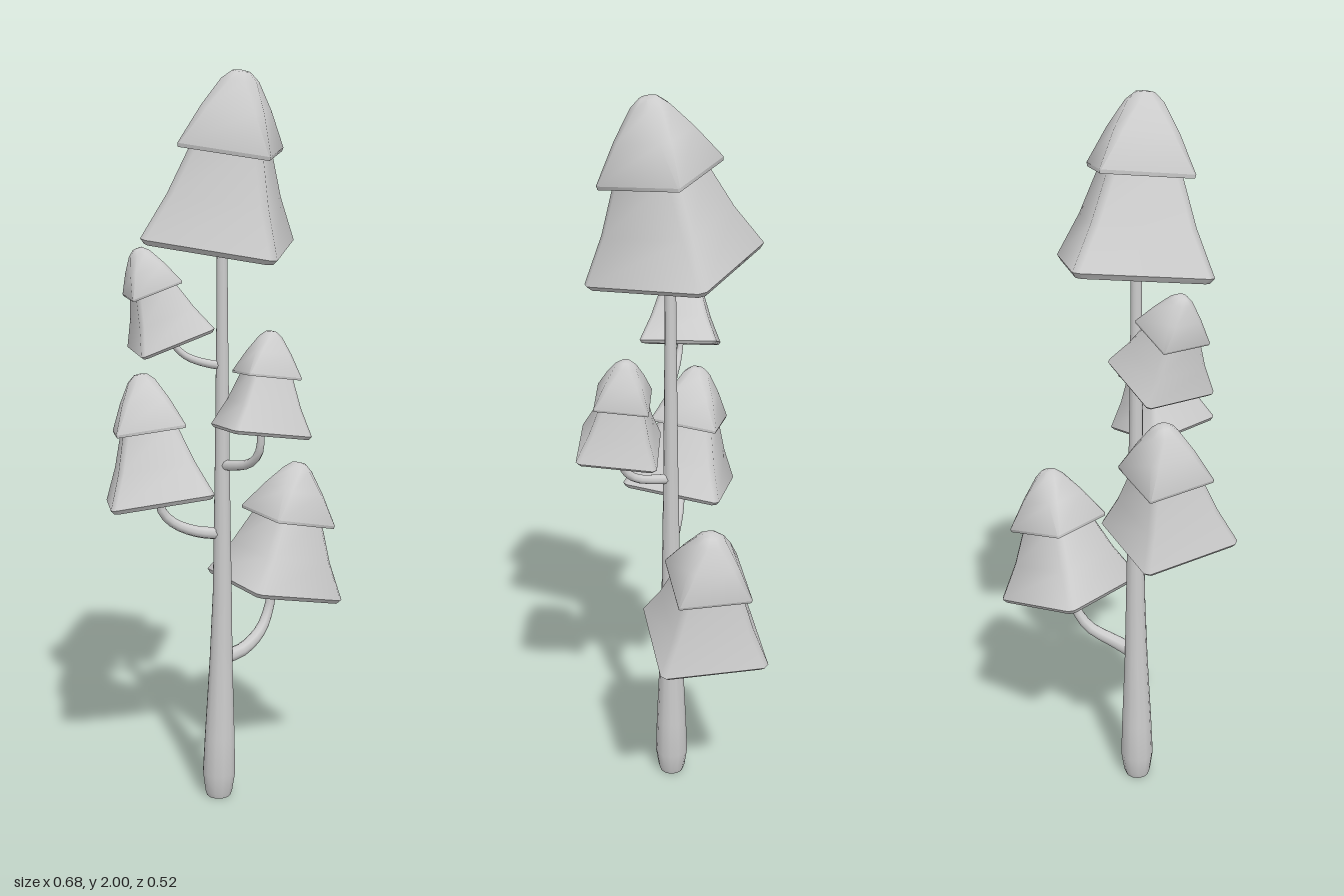
import * as THREE from 'three';
import { toCreasedNormals } from 'three/addons/utils/BufferGeometryUtils.js';

const gray = new THREE.MeshStandardMaterial({ color: 0xcccccc });
gray.name = 'plain gray';

// Stack of bevelled squares; each ring is [height, halfWidth, cornerCut]
function loftSquares(rings) {
  const pos = [], idx = [];
  for (const [h, w, c] of rings) {
    for (let k = 0; k < 4; k++) {
      for (let [x, z] of [[w, c - w], [w - c, -w]]) {
        for (let r = 0; r < k; r++) [x, z] = [z, -x];
        pos.push(x, h, z);
      }
    }
  }
  for (let i = 0; i < rings.length - 1; i++) {
    for (let j = 0; j < 8; j++) {
      const a = i * 8 + j, b = i * 8 + (j + 1) % 8;
      idx.push(a, b, b + 8, a, b + 8, a + 8);
    }
  }
  const geo = new THREE.BufferGeometry();
  geo.setAttribute('position', new THREE.Float32BufferAttribute(pos, 3));
  geo.setIndex(idx);
  return toCreasedNormals(geo, 0.95);
}

const lowerTier = loftSquares([
  [0, 0, 0], [0, 0.168, 0.014], [0.014, 0.178, 0.016],
  [0.13, 0.132, 0.018], [0.27, 0.09, 0.02], [0.27, 0, 0],
]);
const upperTier = loftSquares([
  [0.25, 0, 0], [0.25, 0.118, 0.003], [0.26, 0.12, 0.004], [0.355, 0.082, 0.02],
  [0.425, 0.046, 0.026], [0.447, 0.022, 0.013], [0.45, 0, 0],
]);

function mesh(geo, name) {
  const m = new THREE.Mesh(geo, gray);
  m.name = name;
  return m;
}

// Two-tier foliage crown, turned by yaw and then leaned towards up
function crown(name, center, up, yaw, scale) {
  const g = new THREE.Group();
  g.name = name;
  g.add(mesh(lowerTier, 'lowerFoliage'), mesh(upperTier, 'upperFoliage'));
  g.position.set(...center);
  const Y = new THREE.Vector3(0, 1, 0);
  g.quaternion.setFromUnitVectors(Y, new THREE.Vector3(...up).normalize())
    .multiply(new THREE.Quaternion().setFromAxisAngle(Y, yaw));
  g.scale.setScalar(scale);
  return g;
}

// Curved branch narrowing from r0 to r1
function branch(name, points, r0, r1) {
  const curve = new THREE.CatmullRomCurve3(points.map(p => new THREE.Vector3(...p)));
  const geo = new THREE.TubeGeometry(curve, 10, r0, 8);
  const { position: p, normal: n, uv } = geo.attributes;
  for (let i = 0; i < p.count; i++) {
    const d = (r1 - r0) * uv.getX(i);
    p.setXYZ(i, p.getX(i) + n.getX(i) * d, p.getY(i) + n.getY(i) * d, p.getZ(i) + n.getZ(i) * d);
  }
  return mesh(geo, name);
}

export function createModel() {
  const root = new THREE.Group();
  root.name = 'tree';

  // Trunk: tapered, leaning slightly near the foot
  const profile = [[0, 0], [0.034, 0], [0.039, 0.015], [0.047, 0.07], [0.043, 0.18], [0.033, 0.4],
    [0.027, 0.6], [0.021, 0.95], [0.016, 1.35], [0.014, 1.6], [0, 1.6]];
  let trunkGeo = new THREE.LatheGeometry(profile.map(p => new THREE.Vector2(...p)), 12);
  const p = trunkGeo.attributes.position;
  for (let i = 0; i < p.count; i++) {
    const lean = Math.max(0, 1 - p.getY(i) / 0.6);
    p.setXYZ(i, p.getX(i) - 0.015 - 0.011 * lean, p.getY(i), p.getZ(i) + 0.02);
  }
  root.add(mesh(toCreasedNormals(trunkGeo, 0.9), 'trunk'));

  // Foliage crowns
  root.add(
    crown('topCrown', [-0.02, 1.556, 0.006], [0.094, 1, 0.147], -0.45, 1),
    crown('lowLeftCrown', [0.167, 0.565, -0.082], [0.225, 1, -0.05], 0.25, 0.825),
    crown('lowRightCrown', [-0.187, 0.87, 0.007], [-0.11, 1, -0.147], -0.15, 0.775),
    crown('highRightCrown', [-0.15, 1.305, 0], [-0.36, 1, 0], -0.03, 0.58),
    crown('frontCrown', [0.05, 1.073, 0.155], [0.14, 1, -0.1], 0.02, 0.6),
  );

  // Branches carrying the side crowns
  root.add(
    branch('lowLeftBranch', [[-0.01, 0.41, 0.02], [0.05, 0.42, 0], [0.12, 0.455, -0.05],
      [0.152, 0.51, -0.075], [0.165, 0.58, -0.08]], 0.021, 0.012),
    branch('lowRightBranch', [[-0.015, 0.77, 0.02], [-0.08, 0.777, 0.012], [-0.145, 0.803, 0.005],
      [-0.18, 0.84, 0.003], [-0.187, 0.89, 0.005]], 0.018, 0.011),
    branch('highRightBranch', [[-0.015, 1.235, 0.02], [-0.06, 1.243, 0.015], [-0.11, 1.262, 0.008],
      [-0.14, 1.29, 0.003], [-0.15, 1.32, 0]], 0.012, 0.008),
    branch('frontBranch', [[-0.015, 0.963, 0.02], [0.005, 0.968, 0.06], [0.035, 0.985, 0.115],
      [0.05, 1.02, 0.145], [0.052, 1.09, 0.155]], 0.015, 0.009),
  );
  return root;
}
